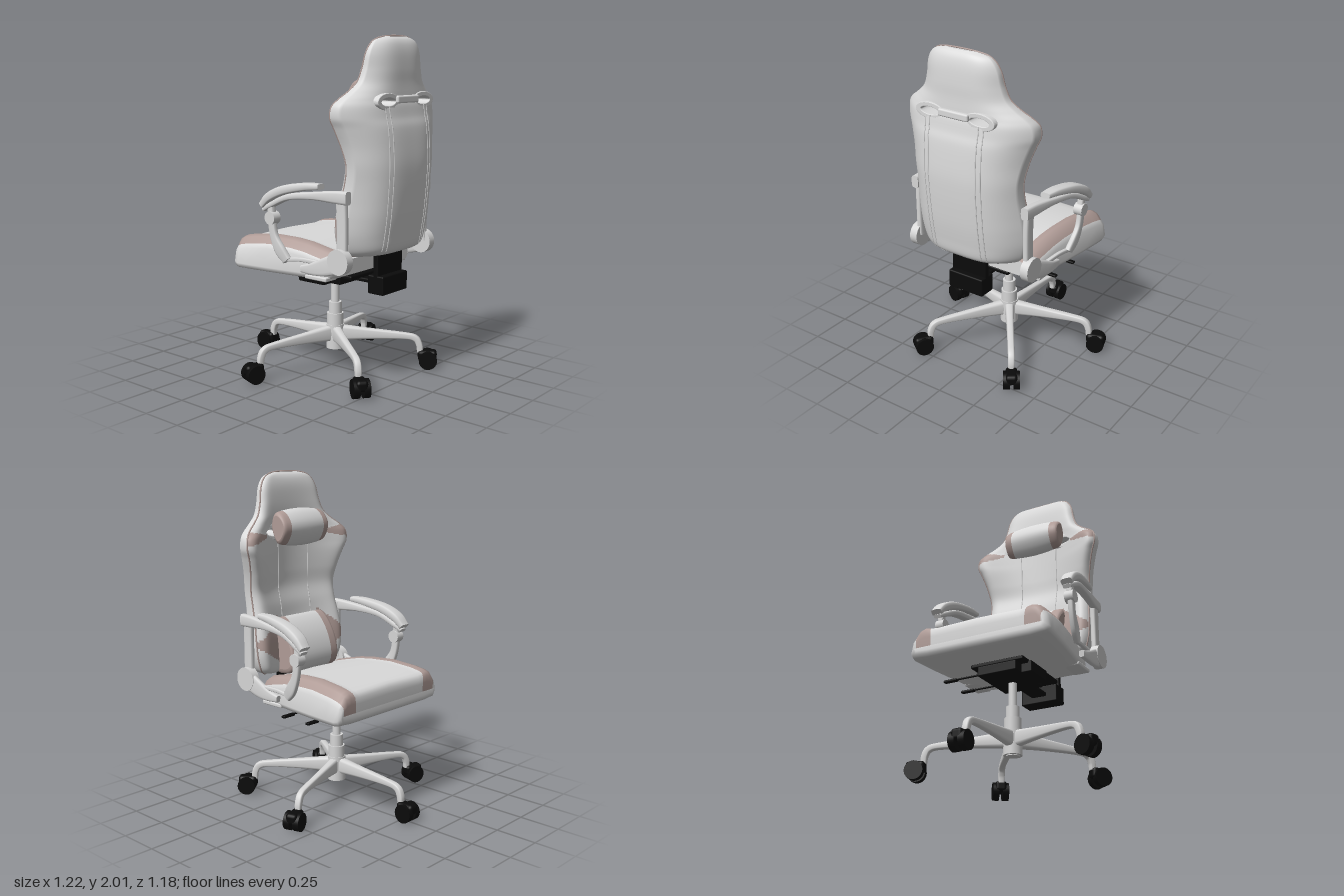
import * as THREE from 'three';
import { RoundedBoxGeometry } from 'three/addons/geometries/RoundedBoxGeometry.js';

const mat = (name, color) => Object.assign(new THREE.MeshStandardMaterial({ color }), { name });

// Skin over closed rings of points; matOf(i, j) picks a material index, -1 leaves a gap
function skin(rings, matOf = () => 0) {
  const n = rings[0].length, pos = rings.flat(2), buckets = [[], []];
  for (let i = 0; i < rings.length - 1; i++) for (let j = 0; j < n; j++) {
    const m = matOf(i, j);
    if (m < 0) continue;
    const a = i * n + j, b = i * n + (j + 1) % n;
    buckets[m].push(a, b, a + n, b, b + n, a + n);
  }
  for (const end of [0, rings.length - 1]) {
    const ring = rings[end], base = pos.length / 3;
    pos.push(...ring.flat());
    pos.push(...[0, 1, 2].map(k => ring.reduce((s, p) => s + p[k], 0) / n));
    const out = buckets[Math.max(0, matOf(end ? end - 1 : 0, 0))];
    for (let j = 0; j < n; j++) {
      const a = base + j, b = base + (j + 1) % n;
      out.push(base + n, end ? a : b, end ? b : a);
    }
  }
  const g = new THREE.BufferGeometry();
  g.setAttribute('position', new THREE.Float32BufferAttribute(pos, 3));
  g.setIndex(buckets.flat());
  g.addGroup(0, buckets[0].length, 0);
  g.addGroup(buckets[0].length, buckets[1].length, 1);
  g.computeVertexNormals();
  return g;
}

// Rounded bar along [x, y, z, half width in x, half thickness]
function sweep(points, steps = 24) {
  const path = new THREE.CatmullRomCurve3(points.map(p => new THREE.Vector3(p[0], p[1], p[2])), false, 'catmullrom');
  const size = new THREE.CatmullRomCurve3(points.map(p => new THREE.Vector3(p[3], p[4], 0)), false, 'catmullrom');
  const rings = [], soft = v => Math.sign(v) * Math.abs(v) ** 0.55;
  for (let i = 0; i <= steps; i++) {
    const p = path.getPoint(i / steps), s = size.getPoint(i / steps), t = path.getTangent(i / steps);
    const l = Math.hypot(t.y, t.z), ring = [];
    for (let k = 0; k < 16; k++) {
      const a = k / 16 * Math.PI * 2, u = soft(Math.cos(a)) * s.x, v = soft(Math.sin(a)) * s.y / l;
      ring.push([p.x + u, p.y + v * t.z, p.z - v * t.y]);
    }
    rings.push(ring);
  }
  return skin(rings);
}

// Cushion with a [z, y] outline, running along x, with coloured ends
function cushion(outline, half, split, puff) {
  const c = new THREE.CatmullRomCurve3(outline.map(p => new THREE.Vector3(0, p[1], p[0])), true, 'catmullrom');
  const pts = c.getPoints(32).slice(0, -1);
  const mid = pts.reduce((s, p) => s.add(p), new THREE.Vector3()).divideScalar(pts.length);
  const xs = [-1, -0.985, -0.95, -0.88, -split, -0.4, 0, 0.4, split, 0.88, 0.95, 0.985, 1];
  const rings = xs.map(x => {
    const s = (1 - puff * x * x) * (1 - 0.2 * Math.abs(x) ** 40);
    return pts.map(p => [x * half, mid.y + (p.y - mid.y) * s, mid.z + (p.z - mid.z) * s]);
  });
  return skin(rings, i => (i < 4 || i > 7 ? 1 : 0));
}

export function createModel() {
  const white = mat('light grey leather', 0xdadada), pink = mat('dusty rose trim', 0xb09c97);
  const black = mat('black plastic', 0x0b0b0b), grey = mat('grey frame', 0xd6d6d6);
  const model = new THREE.Group();
  const add = (name, geo, m, parent = model, x = 0, y = 0, z = 0) => {
    const mesh = new THREE.Mesh(geo, m);
    mesh.name = name;
    mesh.position.set(x, y, z);
    parent.add(mesh);
    return mesh;
  };
  const cyl = (r, h, r2 = r) => new THREE.CylinderGeometry(r, r2, h, 32);
  const box = (w, h, d, r = 0.008) => new RoundedBoxGeometry(w, h, d, 2, r);

  // Five-legged base with twin-wheel casters
  const base = new THREE.Group();
  base.name = 'base';
  base.position.z = 0.03;
  model.add(base);
  const legGeo = sweep([[0, 0.215, -0.02, 0.03, 0.05], [0, 0.21, -0.2, 0.023, 0.034], [0, 0.2, -0.42, 0.02, 0.02],
    [0, 0.185, -0.49, 0.02, 0.02], [0, 0.145, -0.515, 0.02, 0.02], [0, 0.1, -0.52, 0.018, 0.018]], 30);
  for (let k = 0; k < 5; k++) {
    const leg = new THREE.Group();
    leg.name = 'leg' + (k + 1);
    leg.rotation.y = k * Math.PI * 0.4;
    base.add(leg);
    add('legArm', legGeo, grey, leg);
    for (const s of [-1, 1]) add('wheel', cyl(0.055, 0.038), black, leg, s * 0.03, 0.055, -0.568).rotation.z = Math.PI / 2;
    add('casterBody', box(0.07, 0.065, 0.115, 0.02), black, leg, 0, 0.08, -0.565);
  }
  add('hub', cyl(0.055, 0.15), grey, base, 0, 0.195);
  add('hubBottom', cyl(0.04, 0.04), grey, base, 0, 0.135);
  add('columnSleeve', cyl(0.05, 0.08), grey, base, 0, 0.3);
  add('columnCollar', cyl(0.04, 0.08), grey, base, 0, 0.37);
  add('column', cyl(0.025, 0.22), grey, base, 0, 0.5);

  // Tilt mechanism, levers and backrest bracket
  add('mountPlate', box(0.34, 0.025, 0.46), black, model, 0, 0.622, 0.06);
  add('mechanism', box(0.25, 0.06, 0.34), black, model, 0, 0.585, 0.0);
  add('mechanismSide', box(0.1, 0.07, 0.2), black, model, -0.14, 0.59, 0.0);
  add('linkArm', box(0.1, 0.025, 0.34), black, model, 0, 0.592, 0.25);
  add('bracketBlock', box(0.24, 0.11, 0.11), black, model, 0, 0.595, 0.425);
  add('bracketPlate', box(0.24, 0.2, 0.035), black, model, 0, 0.72, 0.425);
  for (const z of [-0.1, 0.1]) {
    add('leverRod', cyl(0.006, 0.28), black, model, 0.22, 0.592, z).rotation.z = Math.PI / 2;
    add('leverGrip', box(0.09, 0.016, 0.028, 0.006), black, model, 0.345, 0.59, z);
  }

  // Seat cushion: sections [z, half width, bottom, top, side bulge, height factor]
  const seat = [[-0.4, 0.4, 0.66, 0.79, 0.01, 0], [-0.402, 0.402, 0.66, 0.795, 0.012, 0.6], [-0.4, 0.406, 0.65, 0.805, 0.018, 0.9],
    [-0.385, 0.411, 0.64, 0.818, 0.03, 1], [-0.36, 0.411, 0.635, 0.828, 0.035, 1], [-0.3, 0.407, 0.635, 0.84, 0.035, 1],
    [-0.15, 0.395, 0.635, 0.855, 0.032, 1], [0, 0.381, 0.635, 0.85, 0.026, 1], [0.1, 0.372, 0.635, 0.838, 0.02, 1],
    [0.2, 0.362, 0.64, 0.815, 0.014, 1], [0.28, 0.352, 0.645, 0.795, 0.008, 1], [0.33, 0.335, 0.665, 0.765, 0, 1]];
  const seatRings = seat.map(([z, w, b, t, e, k]) => {
    const half = [[0, b], [w * 0.8, b], [w + e - 0.015, b + 0.008], [w + e, b + 0.035], [w + e * 0.55, t - 0.075], [w - 0.002, t - 0.05],
      [w - 0.03, t - 0.012], [w - 0.065, t], [w - 0.1, t - 0.006], [w - 0.14, t - 0.012], [0, t - 0.005]];
    const mid = 0.7;
    return [...half, ...half.slice(1, -1).reverse().map(p => [-p[0], p[1]])].map(p => [p[0], mid + (p[1] - mid) * k, z]);
  });
  add('seat', skin(seatRings, (i, j) => ((j > 4 && j < 8) || (j > 11 && j < 15) ? 1 : 0)), [white, pink]);

  // Backrest: sections [y, half width, wing front z, centre front z, back z]
  const rows = [[0.78, 0.22, 0.38, 0.38, 0.46], [0.79, 0.29, 0.32, 0.36, 0.51], [0.82, 0.335, 0.28, 0.35, 0.54], [0.9, 0.362, 0.27, 0.35, 0.555],
    [1, 0.367, 0.275, 0.36, 0.57], [1.1, 0.36, 0.295, 0.38, 0.58], [1.2, 0.352, 0.325, 0.39, 0.587], [1.3, 0.355, 0.34, 0.41, 0.59],
    [1.4, 0.372, 0.315, 0.41, 0.585], [1.5, 0.403, 0.285, 0.41, 0.575], [1.56, 0.426, 0.275, 0.41, 0.56], [1.62, 0.421, 0.285, 0.41, 0.55],
    [1.66, 0.387, 0.315, 0.41, 0.54], [1.7, 0.332, 0.345, 0.41, 0.537], [1.75, 0.278, 0.37, 0.405, 0.535], [1.82, 0.25, 0.385, 0.405, 0.535],
    [1.9, 0.233, 0.4, 0.41, 0.53], [1.95, 0.208, 0.415, 0.42, 0.52], [1.98, 0.17, 0.43, 0.435, 0.505], [1.997, 0.1, 0.455, 0.455, 0.485]];
  const spline = f => new THREE.CatmullRomCurve3(rows.map(f), false, 'catmullrom');
  const curveA = spline(r => new THREE.Vector3(r[0], r[1], r[2])), curveB = spline(r => new THREE.Vector3(r[0], r[3], r[4]));
  const N = 152, C = 72;
  const surface = (t, u, back) => {
    const { x: y, y: w, z: f } = curveA.getPoint(t), { y: c, z: b } = curveB.getPoint(t), a = Math.abs(u);
    const front = c + (f - c) * a * a + (b - f) * 0.25 * a ** 14;
    return [u * w, y, back ? b - (b - f) * 0.55 * a ** 3.5 : front];
  };
  const backRings = [];
  for (let i = 0; i <= N; i++) {
    const ring = [];
    for (let j = 0; j <= C; j++) ring.push(surface(i / N, 1 - 2 * j / C, false));
    for (let j = 0; j <= C; j++) ring.push(surface(i / N, 2 * j / C - 1, true));
    backRings.push(ring);
  }
  const backMat = (i, j) => {
    const p = backRings[i][j], q = backRings[i + 1][(j + 1) % (2 * C + 2)];
    const x = Math.abs(p[0] + q[0]) / 2, y = (p[1] + q[1]) / 2;
    if (((x - 0.165) / 0.08) ** 2 + ((y - 1.645) / 0.034) ** 2 < 1) return -1;
    if (j >= C) return 0;
    const shoulder = x > 0.24 && Math.abs(y - 1.625) < 0.008 + (x - 0.24) * 0.2;
    const hip = x > 0.17 && y < 1.12 - (x - 0.2) * 0.75 && y > 0.86 + (x - 0.2) * 0.6;
    return shoulder || hip ? 1 : 0;
  };
  add('backrest', skin(backRings, backMat), [white, pink]);

  // Edge piping and stitched seams
  const side = s => rows.map((r, i) => new THREE.Vector3(...surface(i / (rows.length - 1), s, false)));
  const loop = new THREE.CatmullRomCurve3([...side(0.995), ...side(-0.995).reverse()], true);
  add('edgePiping', new THREE.TubeGeometry(loop, 240, 0.005, 6, true), pink);
  for (const s of [-1, 1]) for (const [x, back] of [[0.155, true], [0.185, true], [0.12, false]]) {
    const pts = [];
    for (let i = 0; i <= 24; i++) {
      const t = 0.1 + 0.48 * i / 24, w = curveA.getPoint(t).y;
      pts.push(new THREE.Vector3(...surface(t, s * (x + 0.015 * t) / w, back)));
    }
    add('seam', new THREE.TubeGeometry(new THREE.CatmullRomCurve3(pts), 40, 0.0035, 5), white);
  }

  // Strap openings with trim, joined by a bar on the back
  for (const s of [-1, 1]) {
    const trim = new THREE.Shape().absellipse(0, 0, 0.094, 0.044, 0, Math.PI * 2);
    trim.holes.push(new THREE.Path().absellipse(0, 0, 0.068, 0.026, 0, Math.PI * 2));
    const geo = new THREE.ExtrudeGeometry(trim, { depth: 0.15, bevelSize: 0.004, bevelThickness: 0.004, bevelSegments: 2, curveSegments: 24 });
    add('strapOpening', geo, white, model, s * 0.165, 1.645, 0.39);
  }
  add('strapBar', box(0.2, 0.042, 0.03, 0.01), white, model, 0, 1.655, 0.545);

  // Cushions
  add('headPillow', cushion([[0.375, 1.775], [0.405, 1.68], [0.36, 1.57], [0.31, 1.565], [0.262, 1.64], [0.265, 1.71], [0.315, 1.77]], 0.19, 0.72, 0.18), [white, pink]);
  add('lumbarCushion', cushion([[0.36, 1.12], [0.4, 0.97], [0.37, 0.8], [0.27, 0.785], [0.212, 0.82], [0.2, 0.9], [0.235, 1.01], [0.3, 1.1]], 0.2, 0.66, 0), [white, pink]);

  // Armrests
  for (const s of [-1, 1]) {
    const arm = new THREE.Group();
    arm.name = s > 0 ? 'leftArmrest' : 'rightArmrest';
    model.add(arm);
    const bar = (name, pts) => add(name, sweep(pts.map(p => [p[0] * s, ...p.slice(1)])), grey, arm);
    bar('armPad', [[0.402, 1.18, 0.26, 0.03, 0.016], [0.41, 1.173, 0.16, 0.038, 0.022], [0.425, 1.145, 0.02, 0.042, 0.027],
      [0.435, 1.1, -0.08, 0.042, 0.027], [0.44, 1.045, -0.138, 0.036, 0.02]]);
    bar('armRail', [[0.385, 1.13, 0.44, 0.024, 0.038], [0.392, 1.13, 0.34, 0.024, 0.034], [0.405, 1.125, 0.2, 0.026, 0.022],
      [0.42, 1.105, 0.04, 0.03, 0.018], [0.432, 1.05, -0.08, 0.03, 0.016], [0.438, 1.02, -0.13, 0.026, 0.012]]);
    bar('rearPost', [[0.382, 1.15, 0.39, 0.02, 0.035], [0.38, 1, 0.395, 0.018, 0.034], [0.38, 0.78, 0.395, 0.018, 0.034]]);
    bar('frontStrut', [[0.435, 1.06, -0.085, 0.02, 0.018], [0.438, 0.97, -0.078, 0.018, 0.024], [0.437, 0.87, -0.062, 0.017, 0.026],
      [0.432, 0.79, -0.02, 0.018, 0.036], [0.422, 0.735, 0.025, 0.018, 0.028]]);
    bar('lowerBracket', [[0.398, 0.765, 0.38, 0.018, 0.06], [0.405, 0.73, 0.28, 0.018, 0.05], [0.408, 0.71, 0.2, 0.018, 0.035], [0.405, 0.7, 0.12, 0.016, 0.02]]);
    bar('bracketLink', [[0.405, 0.75, 0.24, 0.012, 0.013], [0.41, 0.752, 0.12, 0.012, 0.012], [0.415, 0.74, 0.02, 0.012, 0.012]]);
    add('pivotDisc', cyl(0.072, 0.05), grey, arm, s * 0.397, 0.775, 0.392).rotation.z = Math.PI / 2;
    add('strutKnob', cyl(0.038, 0.055), grey, arm, s * 0.436, 0.975, -0.076).rotation.z = Math.PI / 2;
    add('underSeatTab', box(0.1, 0.025, 0.16), grey, arm, s * 0.335, 0.65, 0.2);
  }
  return model;
}
